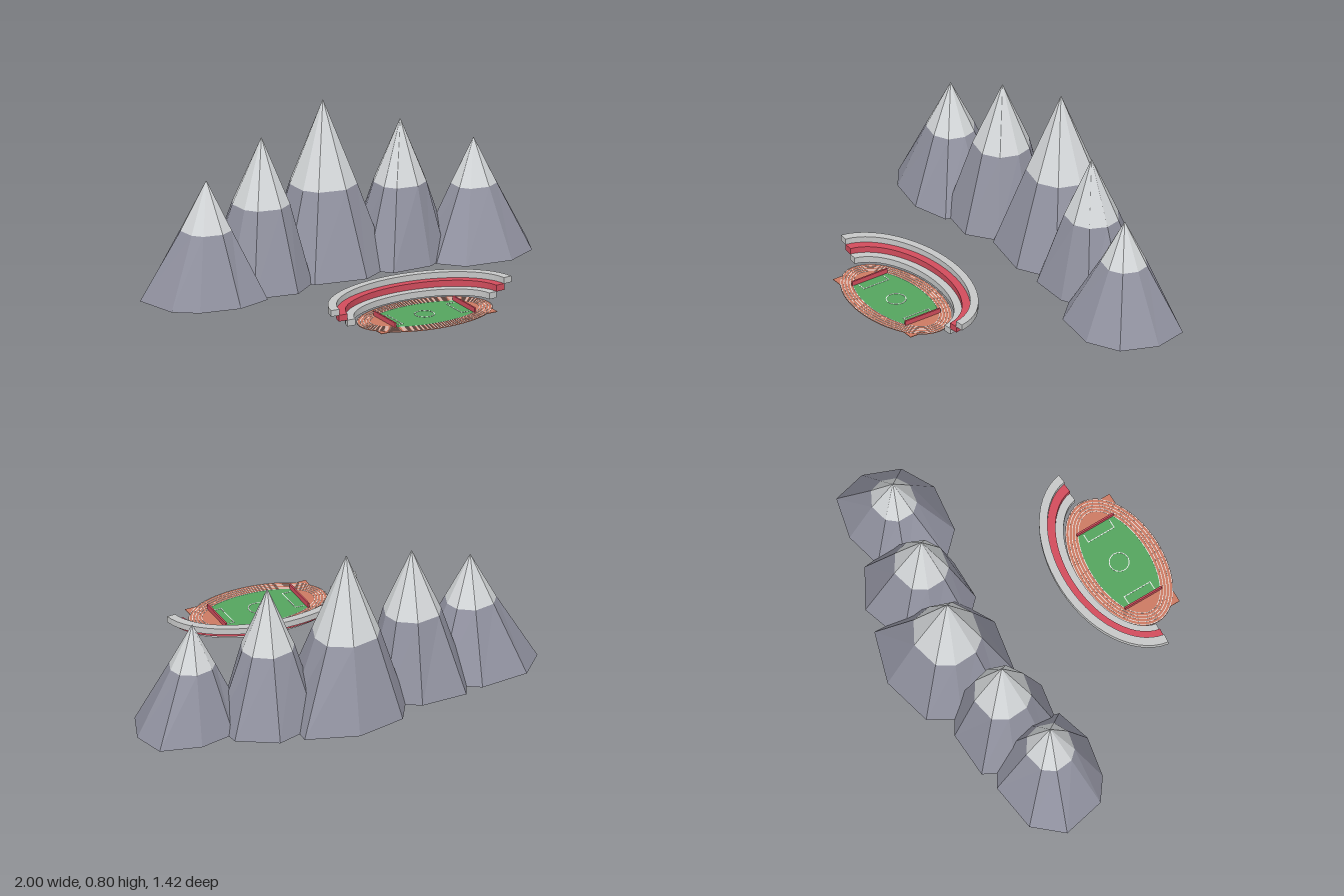
import * as THREE from 'three';

const mat = (name, color, side = THREE.FrontSide) => {
  const m = new THREE.MeshStandardMaterial({ color, side, flatShading: true });
  m.name = name;
  return m;
};

// Faceted band between two rings of points
function bandGeometry(lower, upper) {
  const pos = [];
  for (let i = 0; i < lower.length; i++) {
    const j = (i + 1) % lower.length;
    for (const p of [lower[i], upper[i], lower[j], upper[i], upper[j], lower[j]]) pos.push(...p);
  }
  const g = new THREE.BufferGeometry();
  g.setAttribute('position', new THREE.Float32BufferAttribute(pos, 3));
  g.computeVertexNormals();
  return g;
}

// Horizontal plate from a plan outline (shape y becomes z)
function plate(shape, top, bottom) {
  const g = new THREE.ExtrudeGeometry(shape, { depth: top - bottom, bevelEnabled: false });
  return g.rotateX(Math.PI / 2).translate(0, top, 0);
}

// Points on an ellipse, angles in degrees
function arc(rx, rz, from, to, n) {
  return Array.from({ length: n + 1 }, (_, i) => {
    const a = THREE.MathUtils.degToRad(from + (to - from) * i / n);
    return new THREE.Vector2(rx * Math.cos(a), rz * Math.sin(a));
  });
}

function ringShape(rx, rz, width, n = 64) {
  const s = new THREE.Shape(arc(rx, rz, 0, 360, n).slice(0, -1));
  s.holes.push(new THREE.Path(arc(rx - width, rz - width, 0, 360, n).slice(0, -1).reverse()));
  return s;
}

export function createModel() {
  const model = new THREE.Group();
  model.name = 'mountainStadium';
  const rock = mat('rock', 0x9293a1, THREE.DoubleSide);
  const snow = mat('snow', 0xd6d9db, THREE.DoubleSide);
  const concrete = mat('concrete', 0xc6c7c7);
  const red = mat('seatRed', 0xd14c5c);
  const clay = mat('trackClay', 0xcb7a62);
  const grass = mat('grass', 0x54a45e);
  const white = mat('lineWhite', 0xeaeaea);
  const add = (parent, name, geo, material) => {
    const m = new THREE.Mesh(geo, material);
    m.name = name;
    parent.add(m);
    return m;
  };

  // Mountains: nine-sided open cones with uneven feet and a snow cap
  const angles = [-77, -33, 1, 40, 78, 127, 155, 197, 231].map(THREE.MathUtils.degToRad);
  const mountains = [
    { x: -0.70, z: -0.30, h: 0.565, snowY: 0.33, snowR: 0.12, feet: [.26, .27, .27, .29, .24, .245, .28, .315, .29] },
    { x: -0.37, z: -0.36, h: 0.70, snowY: 0.385, snowR: 0.147, feet: [.23, .24, .225, .24, .255, .265, .26, .26, .28] },
    { x: 0, z: -0.43, h: 0.80, snowY: 0.40, snowR: 0.165, feet: [.29, .372, .30, .315, .305, .315, .295, .28, .29] },
    { x: 0.365, z: -0.345, h: 0.67, snowY: 0.37, snowR: 0.135, feet: [.273, .29, .26, .22, .21, .255, .265, .24, .255] },
    { x: 0.72, z: -0.28, h: 0.535, snowY: 0.32, snowR: 0.11, feet: [.212, .29, .28, .275, .265, .288, .30, .26, .212] },
  ];
  for (const { x, z, h, snowY, snowR, feet } of mountains) {
    const g = new THREE.Group();
    g.name = 'mountain';
    g.position.set(x, 0, z);
    const ring = (y, radius) => angles.map((a, i) => [radius(i) * Math.cos(a), y, radius(i) * Math.sin(a)]);
    const base = ring(0, i => feet[i]);
    // the snow line keeps a little of the uneven foot
    const mid = ring(snowY, i => 0.7 * snowR + 0.3 * feet[i] * (1 - snowY / h));
    const tip = ring(h, () => 0.002);
    add(g, 'rockSlope', bandGeometry(base, mid), rock);
    add(g, 'snowCap', bandGeometry(mid, tip), snow);
    model.add(g);
  }

  // Stadium, built around its own centre
  const stadium = new THREE.Group();
  stadium.name = 'stadium';
  stadium.position.z = 0.507;
  model.add(stadium);

  // Pitch outline: an oval cut straight at both ends
  const end = THREE.MathUtils.radToDeg(Math.acos(0.212 / 0.285));
  const pitch = [...arc(0.285, 0.14, end, 180 - end, 24), ...arc(0.285, 0.14, 180 + end, 360 - end, 24)];
  add(stadium, 'pitch', plate(new THREE.Shape(pitch), 0.034, 0.03), grass);

  // Running track with a hole for the pitch
  const track = new THREE.Shape(arc(0.345, 0.203, 0, 360, 64).slice(0, -1));
  track.holes.push(new THREE.Path([...pitch].reverse()));
  add(stadium, 'track', plate(track, 0.034, 0.03), clay);
  for (const s of [-1, 1]) {
    const tab = new THREE.BoxGeometry(0.06, 0.003, 0.10);
    add(stadium, 'trackCorner', tab, clay).position.set(s * 0.28, 0.0318, 0.088);
  }

  // Lane lines
  for (let i = 0; i < 5; i++) {
    const inset = 0.002 + i * 0.0148;
    add(stadium, 'laneLine', plate(ringShape(0.345 - inset, 0.203 - inset, 0.003), 0.0352, 0.0335), white);
  }

  // Pitch markings
  add(stadium, 'centreCircle', plate(ringShape(0.048, 0.048, 0.004, 32), 0.0352, 0.0335), white);
  for (const s of [-1, 1]) {
    const line = (w, d, x, z) =>
      add(stadium, 'goalBoxLine', new THREE.BoxGeometry(w, 0.0017, d), white).position.set(s * x, 0.03435, z);
    line(0.004, 0.144, 0.158, 0);
    line(0.042, 0.004, 0.179, 0.07);
    line(0.042, 0.004, 0.179, -0.07);
    // Low wall behind each goal
    const wall = new THREE.BoxGeometry(0.008, 0.025, 0.20);
    add(stadium, 'endWall', wall, red).position.set(s * 0.212, 0.0445, 0);
  }

  // Curved grandstand in three rising tiers
  const tiers = [
    ['lowerTier', 0.402, 0.245, 0.36, 0.207, 0.036, 0.067, concrete],
    ['seatTier', 0.446, 0.282, 0.40, 0.244, 0.066, 0.097, red],
    ['upperTier', 0.485, 0.317, 0.443, 0.28, 0.096, 0.126, concrete],
  ];
  for (const [name, rx, rz, ix, iz, y0, y1, material] of tiers) {
    const outline = [...arc(rx, rz, 185.5, 354.5, 28), ...arc(ix, iz, 354.5, 185.5, 28)];
    add(stadium, name, plate(new THREE.Shape(outline), y1, y0), material);
  }
  return model;
}
